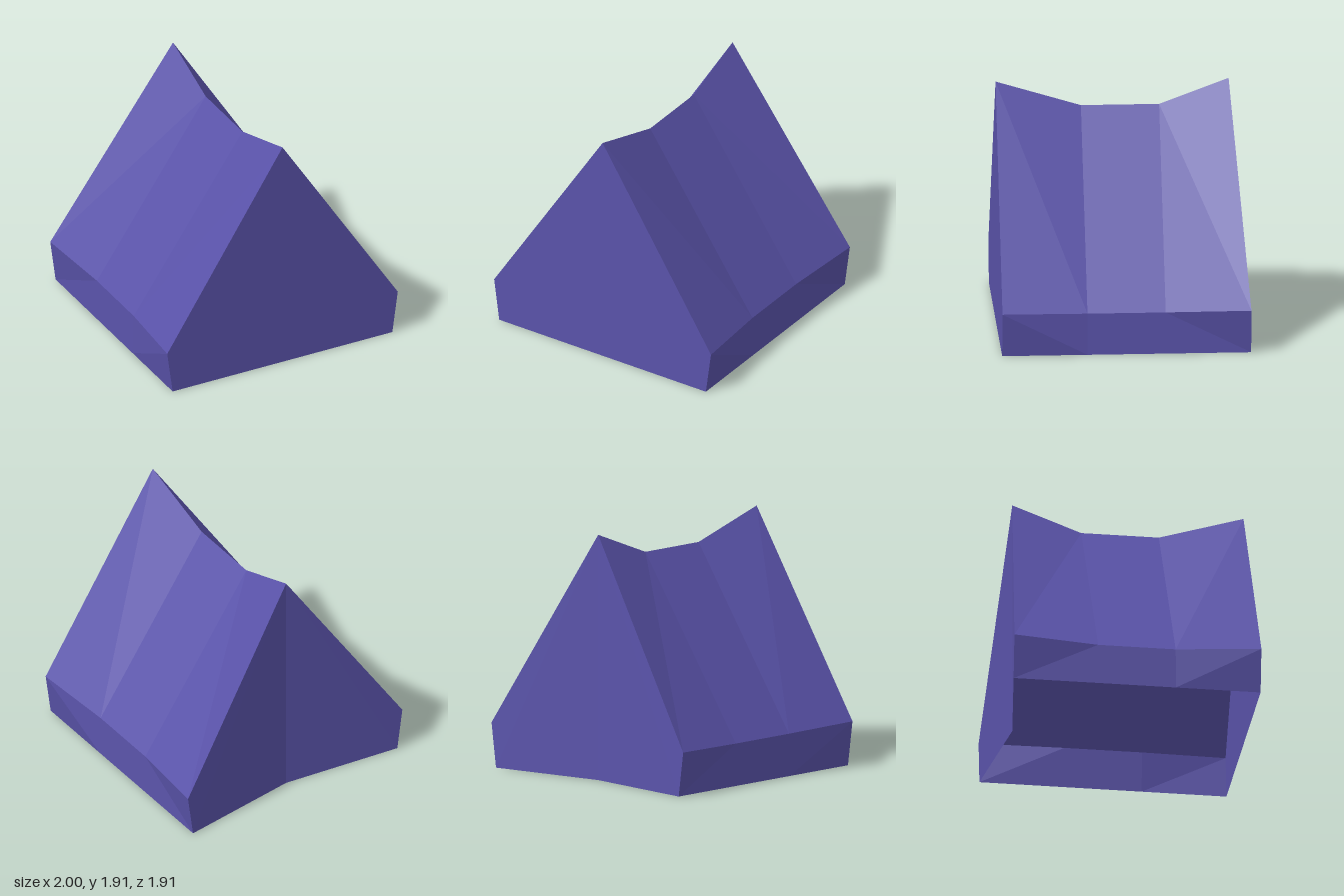
import * as THREE from 'three';

// Flat-faced strip between consecutive rows of points; flip reverses the winding
function strip(rowA, rowB, flip) {
  const pos = [];
  for (let i = 0; i < rowA.length - 1; i++) {
    const [a, b, c, d] = [rowA[i], rowB[i], rowB[i + 1], rowA[i + 1]];
    const tris = flip ? [a, c, b, a, d, c] : [a, b, c, a, c, d];
    tris.forEach((p) => pos.push(...p));
  }
  const g = new THREE.BufferGeometry();
  g.setAttribute('position', new THREE.Float32BufferAttribute(pos, 3));
  g.computeVertexNormals();
  return g;
}

export function createModel() {
  const group = new THREE.Group();
  group.name = 'tent';
  const canvas = new THREE.MeshStandardMaterial({ color: 0x5a53aa, side: THREE.DoubleSide });
  canvas.name = 'purple canvas';
  const add = (name, geometry) => {
    const mesh = new THREE.Mesh(geometry, canvas);
    mesh.name = name;
    group.add(mesh);
  };

  // Cross-sections from front to back: the cloth sags between the ends
  const sections = [
    { z: 0.955, ridgeZ: 0.955, ridge: 1.907, eaveX: 1, eaveY: 0.347 },
    { z: 0.3, ridgeZ: 0.3, ridge: 1.707, eaveX: 0.943, eaveY: 0.327 },
    { z: -0.3, ridgeZ: -0.3, ridge: 1.707, eaveX: 0.943, eaveY: 0.327 },
    { z: -0.955, ridgeZ: -0.833, ridge: 1.907, eaveX: 1, eaveY: 0.347 },
  ];
  const baseX = 0.953;

  for (const s of [1, -1]) {
    const side = s > 0 ? 'left' : 'right';
    const ridge = sections.map((c) => [0, c.ridge, c.ridgeZ]);
    const eave = sections.map((c) => [s * c.eaveX, c.eaveY, c.z]);
    const base = sections.map((c) => [s * baseX, 0, c.z]);

    // Sloping roof and low side wall
    add(side + 'Roof', strip(ridge, eave, s < 0));
    add(side + 'Wall', strip(eave, base, s < 0));

    // Half of each end wall; the back one is drawn inward at the middle
    const end = (i) => {
      const c = sections[i];
      return [[[0, c.ridge, c.ridgeZ], [0, 0, c.ridgeZ]], [eave[i], base[i]]];
    };
    add(side + 'FrontPanel', strip(...end(0), s > 0));
    add(side + 'BackPanel', strip(...end(3), s < 0));
  }
  return group;
}
